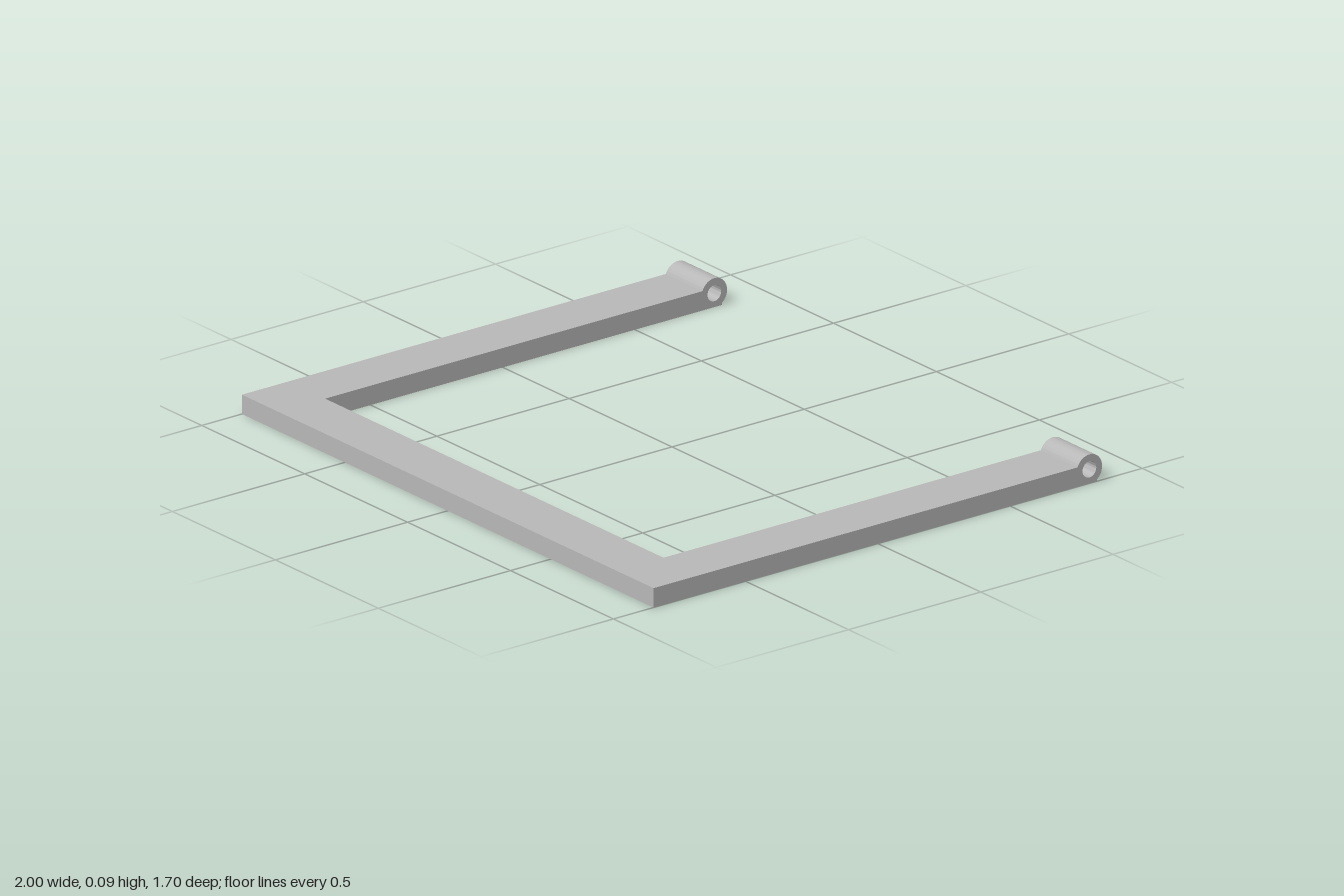
import * as THREE from 'three';
import { toCreasedNormals } from 'three/addons/utils/BufferGeometryUtils.js';

const FRONT = 0.848, THICK = 0.062, ARM = 0.178;
const EYE = { u: 0.8, v: 0.045, outer: 0.048, inner: 0.026 };

// Side profile of an arm: flat bar ending in a round eye (u runs to the back, v up)
function armGeometry() {
  const { u, v, outer, inner } = EYE;
  const start = Math.PI - Math.asin((THICK - v) / outer);
  const endU = 0.828;
  const end = -Math.acos((endU - u) / outer);
  const shape = new THREE.Shape();
  shape.moveTo(-FRONT, 0);
  shape.lineTo(endU, 0);
  shape.lineTo(u + outer * Math.cos(end), v + outer * Math.sin(end));
  shape.absarc(u, v, outer, end, start, false);
  shape.lineTo(-FRONT, THICK);
  shape.closePath();
  const hole = new THREE.Path();
  hole.absarc(u, v, inner, 0, Math.PI * 2, true);
  shape.holes.push(hole);
  const geo = new THREE.ExtrudeGeometry(shape, { depth: ARM, bevelEnabled: false, curveSegments: 32 });
  geo.rotateY(Math.PI / 2);
  return toCreasedNormals(geo, 0.5);
}

export function createModel() {
  const group = new THREE.Group();
  group.name = 'hingedFrame';
  const grey = new THREE.MeshStandardMaterial({ color: 0xb8b8b8 });
  grey.name = 'grey';

  // Side arms with hinge eyes
  const geo = armGeometry();
  for (const [name, x] of [['leftArm', 1 - ARM], ['rightArm', -1]]) {
    const arm = new THREE.Mesh(geo, grey);
    arm.name = name;
    arm.position.x = x;
    group.add(arm);
  }

  // Front crossbar between the arms
  const depth = FRONT - 0.672;
  const bar = new THREE.Mesh(new THREE.BoxGeometry(2 - 2 * ARM, THICK, depth), grey);
  bar.name = 'crossbar';
  bar.position.set(0, THICK / 2, FRONT - depth / 2);
  group.add(bar);
  return group;
}
